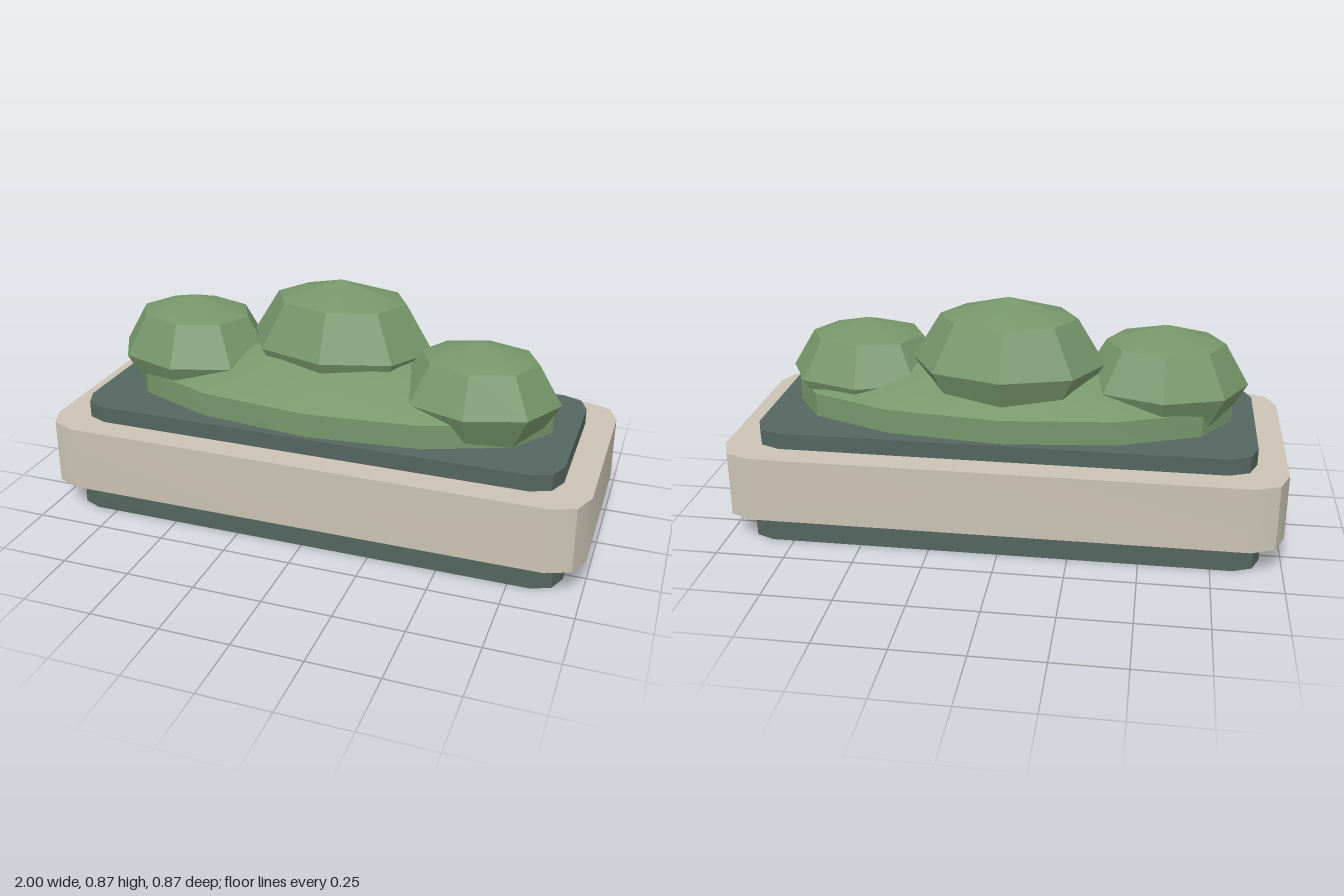
import * as THREE from 'three';
import { toCreasedNormals } from 'three/addons/utils/BufferGeometryUtils.js';

const CREASE = Math.PI / 6;

function material(name, color) {
  const m = new THREE.MeshStandardMaterial({ color });
  m.name = name;
  return m;
}

// Rectangle with chamfer-like two-step corners, extruded upward from y0 to y1
function slab(name, halfX, halfZ, radius, y0, y1, mat) {
  const shape = new THREE.Shape();
  const cx = halfX - radius, cz = halfZ - radius;
  const centres = [[cx, cz], [-cx, cz], [-cx, -cz], [cx, -cz]];
  centres.forEach(([x, z], i) => {
    for (let k = 0; k <= 2; k++) {
      const a = (i + k / 2) * Math.PI / 2;
      const px = x + radius * Math.cos(a), pz = z + radius * Math.sin(a);
      if (i === 0 && k === 0) shape.moveTo(px, pz);
      else shape.lineTo(px, pz);
    }
  });
  shape.closePath();
  const geo = new THREE.ExtrudeGeometry(shape, { depth: y1 - y0, bevelEnabled: false });
  geo.rotateX(-Math.PI / 2);
  geo.translate(0, y0, 0);
  const mesh = new THREE.Mesh(toCreasedNormals(geo, CREASE), mat);
  mesh.name = name;
  return mesh;
}

// Faceted, squashed ball
function bush(name, [x, y, z], [rx, ry, rz], mat) {
  const geo = new THREE.SphereGeometry(1, 8, 4);
  geo.scale(rx, ry, rz);
  const mesh = new THREE.Mesh(toCreasedNormals(geo, CREASE), mat);
  mesh.position.set(x, y, z);
  mesh.name = name;
  return mesh;
}

export function createModel() {
  const stone = material('pale stone', 0xcac2b3);
  const slate = material('dark slate', 0x54655f);
  const leaf = material('leaf green', 0x76966a);

  const group = new THREE.Group();
  group.name = 'planter';

  // Planter: recessed foot, broad body, raised inner bed
  group.add(
    slab('foot', 0.925, 0.375, 0.095, 0, 0.11, slate),
    slab('planterBody', 1, 0.437, 0.12, 0.11, 0.35, stone),
    slab('innerBed', 0.895, 0.34, 0.1, 0.35, 0.41, slate)
  );

  // Low oval mound with upright sides and a conical top
  const profile = [[0.81, 0.4], [0.81, 0.498], [0, 0.685]].map(p => new THREE.Vector2(...p));
  const moundGeo = new THREE.LatheGeometry(profile, 12);
  moundGeo.scale(1, 1, 0.322 / 0.81);
  const mound = new THREE.Mesh(toCreasedNormals(moundGeo, CREASE), leaf);
  mound.name = 'leafMound';
  group.add(mound);

  // Three bushes
  group.add(
    bush('rightBush', [-0.56, 0.555, 0], [0.3, 0.212, 0.24], leaf),
    bush('middleBush', [0, 0.63, -0.066], [0.35, 0.237, 0.25], leaf),
    bush('leftBush', [0.545, 0.535, 0.038], [0.295, 0.2, 0.237], leaf)
  );

  return group;
}
